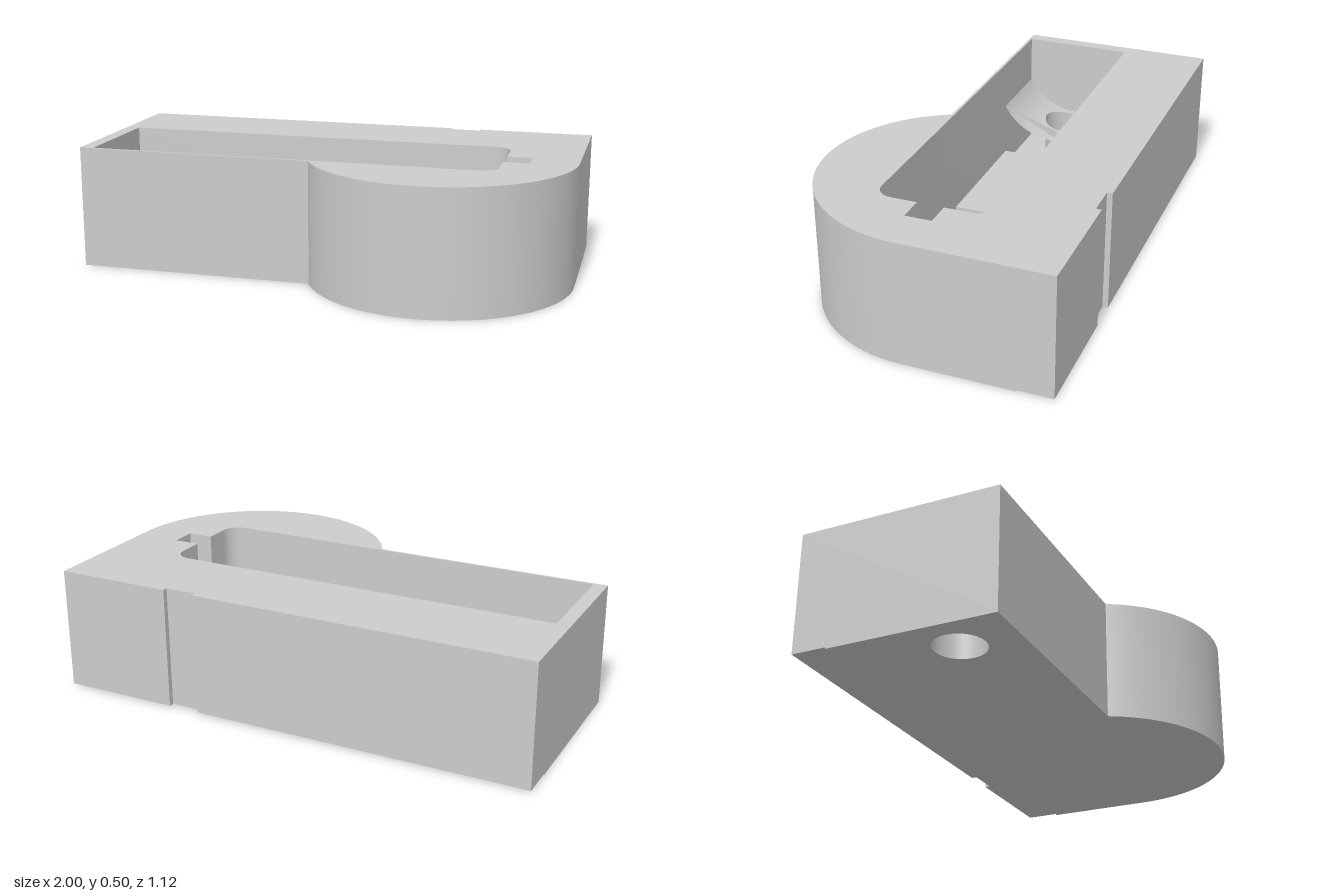
import * as THREE from 'three';
import { toCreasedNormals } from 'three/addons/utils/BufferGeometryUtils.js';

const H = 0.502, STEP = 0.006;                 // height, relief under the back strip
const CZ = 0.0215, W = 0.228;                  // cavity centre line and half width
const X0 = -0.945, X1 = -0.607, X2 = -0.027, X3 = 0.71; // cavity stations
const FLOOR = 0.07, END_FLOOR = 0.05;
const CRADLE = { r: 0.26, y: 0.423 };          // cradle arc radius and centre height
const HOLE = { x: -0.82, r: 0.102 };

// points of an arc in plan (x, z)
function arc(cx, cz, r, a0, a1, n) {
  return Array.from({ length: n + 1 }, (_, i) => {
    const a = a0 + (a1 - a0) * i / n;
    return [cx + r * Math.cos(a), cz + r * Math.sin(a)];
  });
}
const toPath = (pts, Type) => new Type(pts.map(([x, z]) => new THREE.Vector2(x, -z)));

// vertical prism from a plan outline; holes run opposite to the outline
function prism(outline, holes, y0, y1) {
  const shape = toPath(outline, THREE.Shape);
  shape.holes = holes.map((h) => toPath([...h].reverse(), THREE.Path));
  const g = new THREE.ExtrudeGeometry(shape, { depth: y1 - y0, bevelEnabled: false });
  g.rotateX(-Math.PI / 2).translate(0, y0, 0);
  return toCreasedNormals(g, 0.4);
}
const circle = (x, r, n) => arc(x, CZ, r, 0, 2 * Math.PI, n).slice(0, -1);
const cradleY = (z) => CRADLE.y - Math.sqrt(CRADLE.r ** 2 - (z - CZ) ** 2);

// rounded cradle surface, meshed from the drain hole out to its rectangle
function cradleGeometry() {
  const edge = [], n = 32, rings = 24;
  const zs = (i) => CZ - W * Math.cos(Math.PI * i / n);
  for (let i = 0; i < n; i++) edge.push([X0, zs(i)]);
  for (let i = 0; i < n; i++) edge.push([X0 + (X1 - X0) * i / n, CZ + W]);
  for (let i = 0; i < n; i++) edge.push([X1, zs(n - i)]);
  for (let i = 0; i < n; i++) edge.push([X1 + (X0 - X1) * i / n, CZ - W]);
  const pos = [], nor = [], idx = [], m = edge.length;
  for (let k = 0; k <= rings; k++) {
    const t = Math.sin(Math.PI / 2 * k / rings);
    for (const [ex, ez] of edge) {
      const a = Math.atan2(ez - CZ, ex - HOLE.x);
      const hx = HOLE.x + HOLE.r * Math.cos(a), hz = CZ + HOLE.r * Math.sin(a);
      const x = hx + (ex - hx) * t, z = hz + (ez - hz) * t, y = cradleY(z);
      pos.push(x, y, z);
      nor.push(0, (CRADLE.y - y) / CRADLE.r, (CZ - z) / CRADLE.r);
    }
  }
  for (let k = 0; k < rings; k++) {
    for (let i = 0; i < m; i++) {
      const a = k * m + i, b = k * m + (i + 1) % m;
      idx.push(a, b, a + m, b, b + m, a + m);
    }
  }
  const g = new THREE.BufferGeometry();
  g.setAttribute('position', new THREE.Float32BufferAttribute(pos, 3));
  g.setAttribute('normal', new THREE.Float32BufferAttribute(nor, 3));
  g.setIndex(idx.reverse());
  return g;
}

export function createModel() {
  const model = new THREE.Group();
  const gray = new THREE.MeshStandardMaterial({ color: 0xcccccc, side: THREE.DoubleSide });
  gray.name = 'gray';
  const add = (name, geometry) => {
    const mesh = new THREE.Mesh(geometry, gray);
    mesh.name = name;
    model.add(mesh);
  };

  // outer outline: block with a round lobe and a shallow notch in the back
  const B = -0.5625;
  const front = [...arc(0.459, CZ, 0.541, 0, Math.PI - 0.4566, 72), [-1, 0.26]];
  const outline = [[-1, B], [0.39, B], [0.39, B + 0.022], [0.52, B + 0.022], [0.52, B], [1, B], ...front];

  // long cavity with two rounded corners and a small end pocket
  const c = 0.07, za = CZ - W, zb = CZ + W;
  const cornerA = arc(X3 - c, za + c, c, -Math.PI / 2, 0, 10);
  const cornerB = arc(X3 - c, zb - c, c, 0, Math.PI / 2, 10);
  const px = 0.815, pz0 = CZ - 0.053, pz1 = CZ + 0.053;
  const cavity = [[X0, za], ...cornerA, [X3, pz0], [px, pz0], [px, pz1], [X3, pz1], ...cornerB, [X0, zb]];
  add('body', prism(outline, [cavity], STEP, H));

  // base plate, set in from the back edge
  add('basePlate', prism([[-1, -0.42], [1, -0.42], ...front], [circle(HOLE.x, HOLE.r, 48)], 0, STEP));

  // cavity floors
  add('middleFloor', prism([[X1, za], [X2, za], [X2, zb], [X1, zb]], [], STEP, FLOOR));
  add('endFloor', prism([[X2, za], ...cornerA, ...cornerB, [X2, zb]], [], STEP, END_FLOOR));

  // pocket floor with a small blind bore
  const pocket = [[X3, pz0], [px, pz0], [px, pz1], [X3, pz1]];
  add('pocketFloor', prism(pocket, [circle(0.76, 0.033, 24)], 0.2, 0.28));
  add('pocketBase', prism(pocket, [], STEP, 0.2));

  // rounded cradle and its end face
  add('cradle', cradleGeometry());
  const half = Math.asin(W / CRADLE.r);
  const end = new THREE.Shape();
  end.moveTo(-W, FLOOR);
  end.absarc(0, CRADLE.y, CRADLE.r, -Math.PI / 2 - half, -Math.PI / 2 + half, false);
  end.lineTo(W, FLOOR);
  const endGeometry = new THREE.ShapeGeometry(end, 40);
  endGeometry.rotateY(Math.PI / 2).translate(X1, 0, CZ);
  // face the open cavity
  endGeometry.computeVertexNormals();
  add('cradleEnd', endGeometry);

  // drain hole wall, its upper rim following the cradle
  const bore = new THREE.CylinderGeometry(HOLE.r, HOLE.r, 1, 48, 1, true);
  bore.translate(HOLE.x, 0.5, CZ);
  const p = bore.attributes.position;
  for (let i = 0; i < p.count; i++) p.setY(i, p.getY(i) > 0.5 ? cradleY(p.getZ(i)) : 0);
  add('drainHole', bore);

  return model;
}
